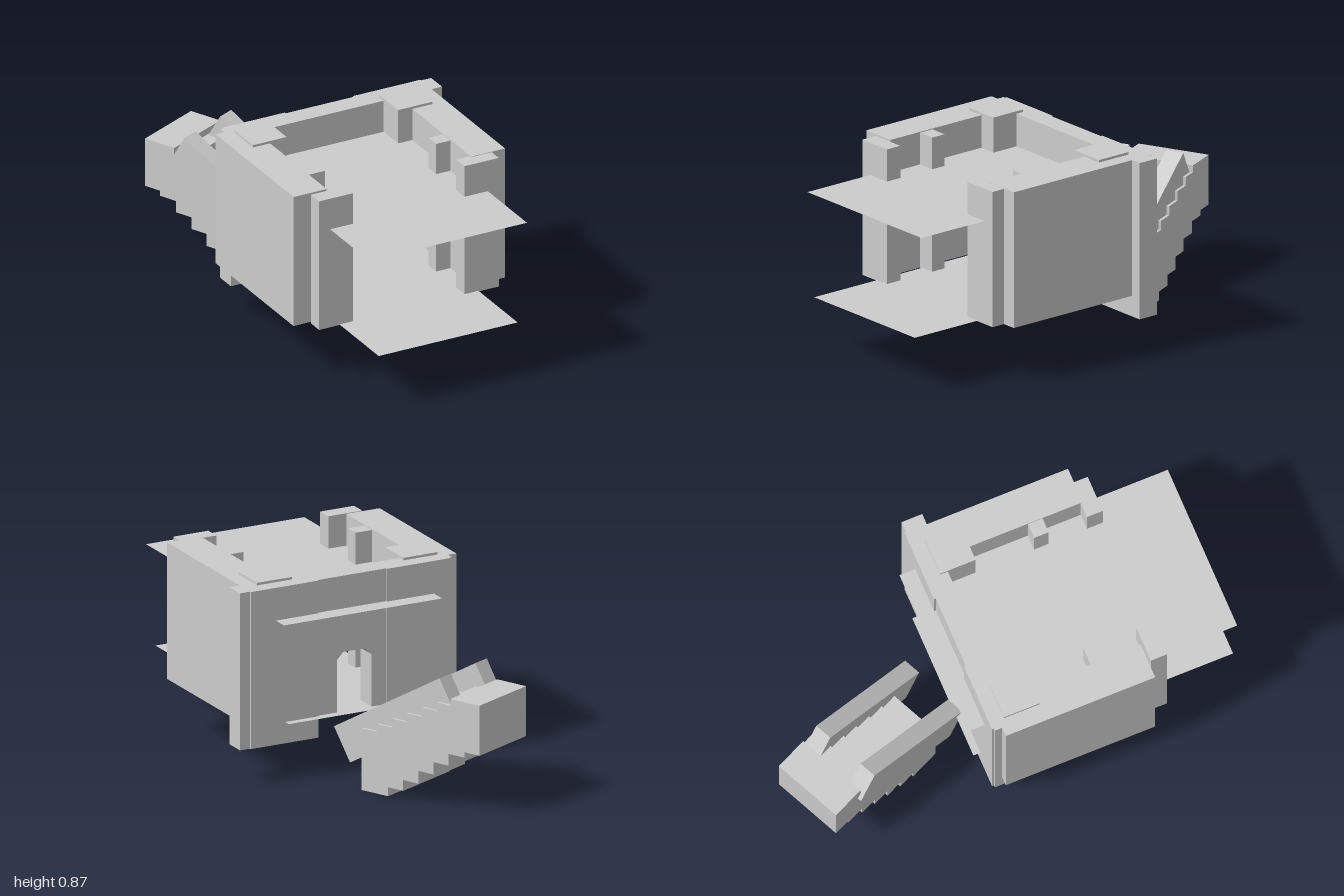
import * as THREE from 'three';

export function createModel() {
  const model = new THREE.Group();
  const stone = new THREE.MeshStandardMaterial({ color: 0xcccccc, side: THREE.DoubleSide });
  stone.name = 'pale stone';

  function add(parent, name, geometry) {
    const mesh = new THREE.Mesh(geometry, stone);
    mesh.name = name;
    parent.add(mesh);
    return mesh;
  }

  // Box from its minimum and maximum on each axis
  function box(name, x0, x1, y0, y1, z0, z1, parent = model) {
    const g = new THREE.BoxGeometry(x1 - x0, y1 - y0, z1 - z0);
    g.translate((x0 + x1) / 2, (y0 + y1) / 2, (z0 + z1) / 2);
    return add(parent, name, g);
  }

  // Flat outline extruded from z0 to z1
  function slab(name, points, z0, z1, parent = model) {
    const shape = new THREE.Shape(points.map(([x, y]) => new THREE.Vector2(x, y)));
    const g = new THREE.ExtrudeGeometry(shape, { depth: z1 - z0, bevelEnabled: false });
    g.translate(0, 0, z0);
    return add(parent, name, g);
  }

  // Horizontal sheet
  function sheet(name, x0, x1, y, z0, z1) {
    const g = new THREE.PlaneGeometry(x1 - x0, z1 - z0);
    g.rotateX(-Math.PI / 2);
    g.translate((x0 + x1) / 2, y, (z0 + z1) / 2);
    return add(model, name, g);
  }

  // Floors
  sheet('lowerFloor', -0.355, 0.315, 0.255, -0.19, 1);
  sheet('upperFloor', -0.4, 0.36, 0.714, -0.23, 1);

  // Side walls
  box('rightWall', -0.53, -0.37, 0.252, 0.86, -0.115, 0.57);
  box('leftWall', 0.315, 0.478, 0.252, 0.86, -0.06, 0.592);

  // Pillars along each side wall
  for (const [side, outer, middle, inner] of [['right', -0.453, -0.37, -0.29], ['left', 0.413, 0.315, 0.247]]) {
    const x0 = Math.min(outer, inner), x1 = Math.max(outer, inner);
    box(side + 'BackPillar', x0, x1, 0.246, 0.871, -0.09, 0.072);
    box(side + 'MiddlePillar', Math.min(middle, inner), Math.max(middle, inner), 0.249, 0.856, 0.34, 0.407);
    box(side + 'FrontPillar', x0, x1, 0.252, 0.858, 0.582, 0.655);
  }

  // Back wall panels
  box('backPanelRight', -0.49, -0.175, 0.16, 0.86, -0.148, -0.055);
  box('backFacingRight', -0.48, -0.175, 0.16, 0.86, -0.157, -0.148);
  box('backPanelLeft', 0.155, 0.48, 0.16, 0.86, -0.157, -0.055);
  box('backCorner', 0.478, 0.528, 0.16, 0.86, -0.15, -0.055);
  box('doorJambBlock', 0.155, 0.22, 0.16, 0.455, -0.13, -0.05);

  // Doorway with chamfered top, open at the bottom
  const opening = [
    [0.062, 0.25], [0.062, 0.488], [0.032, 0.52], [-0.074, 0.52], [-0.105, 0.488], [-0.105, 0.25],
  ];
  slab('doorPanel', [[-0.175, 0.25], [-0.175, 0.86], [0.155, 0.86], [0.155, 0.25], ...opening], -0.149, -0.055);
  slab('doorArch', [
    [-0.205, 0.25], [-0.205, 0.525], [-0.11, 0.62], [0.07, 0.62], [0.165, 0.525], [0.165, 0.25], ...opening,
  ], -0.148, -0.048);

  // Staircase: local x runs up the stairs, away from the doorway
  const stairs = new THREE.Group();
  stairs.name = 'staircase';
  stairs.position.set(-0.05, 0, -0.3675);
  stairs.rotation.y = 2.005;
  model.add(stairs);

  // Each step: start, end, height
  const treads = [
    [0, 0.08, 0.275], [0.08, 0.16, 0.31], [0.16, 0.24, 0.35], [0.24, 0.32, 0.39],
    [0.32, 0.4, 0.432], [0.4, 0.47, 0.47], [0.47, 0.623, 0.5],
  ];
  const soffits = [
    [0, 0.14, 0], [0.14, 0.22, 0.04], [0.22, 0.3, 0.088], [0.3, 0.38, 0.145],
    [0.38, 0.46, 0.2], [0.46, 0.545, 0.253], [0.545, 0.623, 0.277],
  ];
  const profile = [];
  for (const [a, b, y] of soffits) profile.push([a, y], [b, y]);
  for (const [a, b, y] of treads.reverse()) profile.push([b, y], [a, y]);
  slab('steps', profile, -0.164, 0.164, stairs);

  // Sloping side beams
  for (const [name, v] of [['rightBeam', -0.142], ['leftBeam', 0.111]]) {
    const beam = box(name, 0, 0.645, -0.168, 0, v - 0.04, v + 0.04, stairs);
    beam.position.set(-0.155, 0.25, 0);
    beam.rotation.z = 0.528;
  }

  return model;
}
